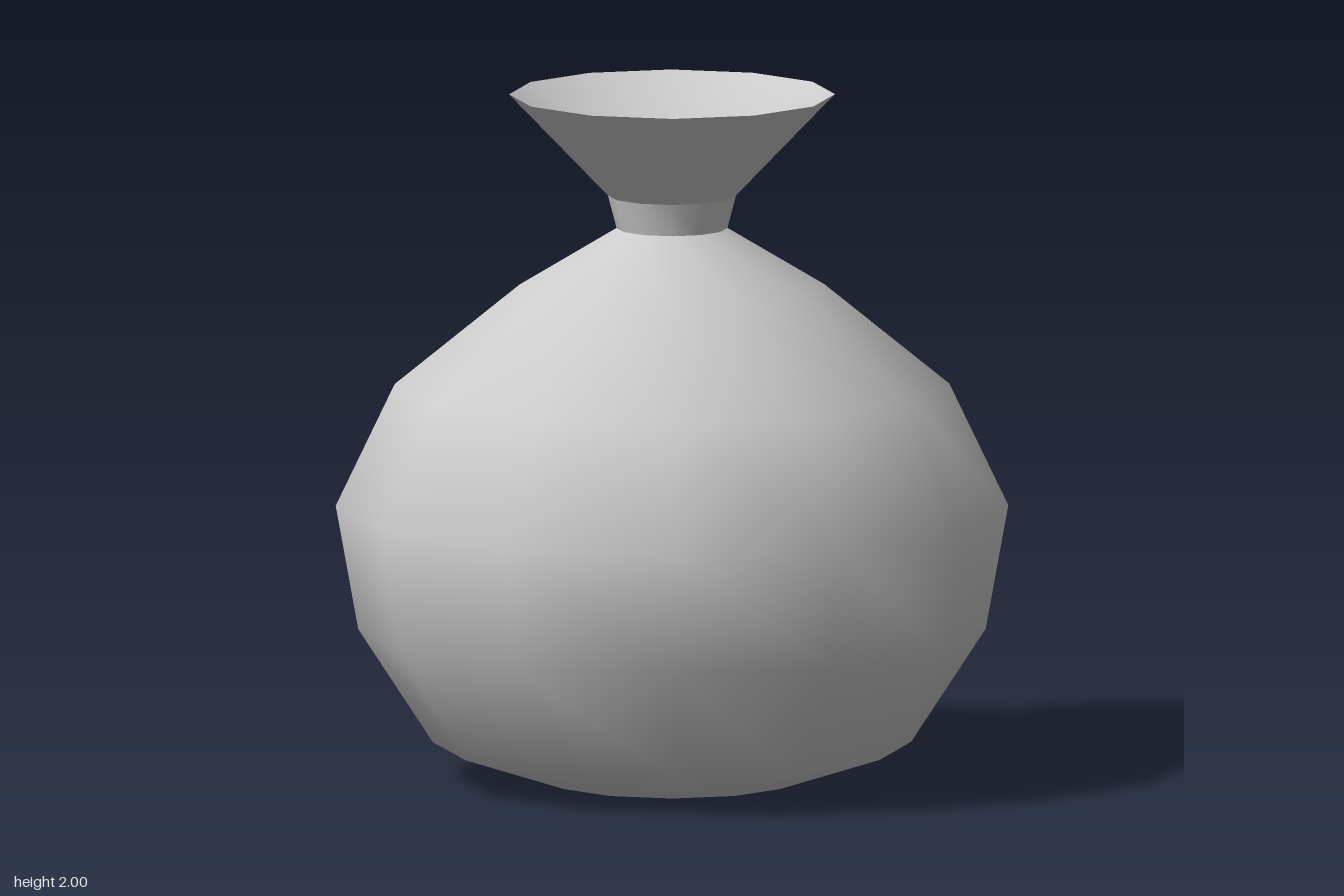
import * as THREE from 'three';
import { mergeVertices } from 'three/addons/utils/BufferGeometryUtils.js';

const SIDES = 12;

// Smooth-shaded twelve-sided turned part; profile points are [radius, height]
function turned(name, profile, material) {
  const lathe = new THREE.LatheGeometry(profile.map(([r, y]) => new THREE.Vector2(r, y)), SIDES);
  lathe.deleteAttribute('uv');
  lathe.deleteAttribute('normal');
  const geometry = mergeVertices(lathe, 1e-4); // weld seam and poles
  geometry.computeVertexNormals();
  const mesh = new THREE.Mesh(geometry, material);
  mesh.name = name;
  return mesh;
}

export function createModel() {
  const group = new THREE.Group();
  group.name = 'tiedSack';
  const grey = new THREE.MeshStandardMaterial({ color: 0xcccccc, side: THREE.DoubleSide });

  // Round belly with a small flat base, narrowing to the tie
  group.add(turned('sackBody', [
    [0, 0], [0.36, 0], [0.69, 0.11], [0.905, 0.44], [0.97, 0.8],
    [0.8, 1.155], [0.44, 1.445], [0.16, 1.61],
  ], grey));

  // Tie band around the neck
  group.add(turned('neckBand', [[0.16, 1.61], [0.185, 1.705]], grey));

  // Flared mouth outside, and its hollow inside
  group.add(turned('mouthOuter', [[0.185, 1.705], [0.47, 2]], grey));
  group.add(turned('mouthInner', [[0.47, 2], [0, 1.7]], grey));

  group.rotation.y = -0.01; // slight twist of the facets
  return group;
}
